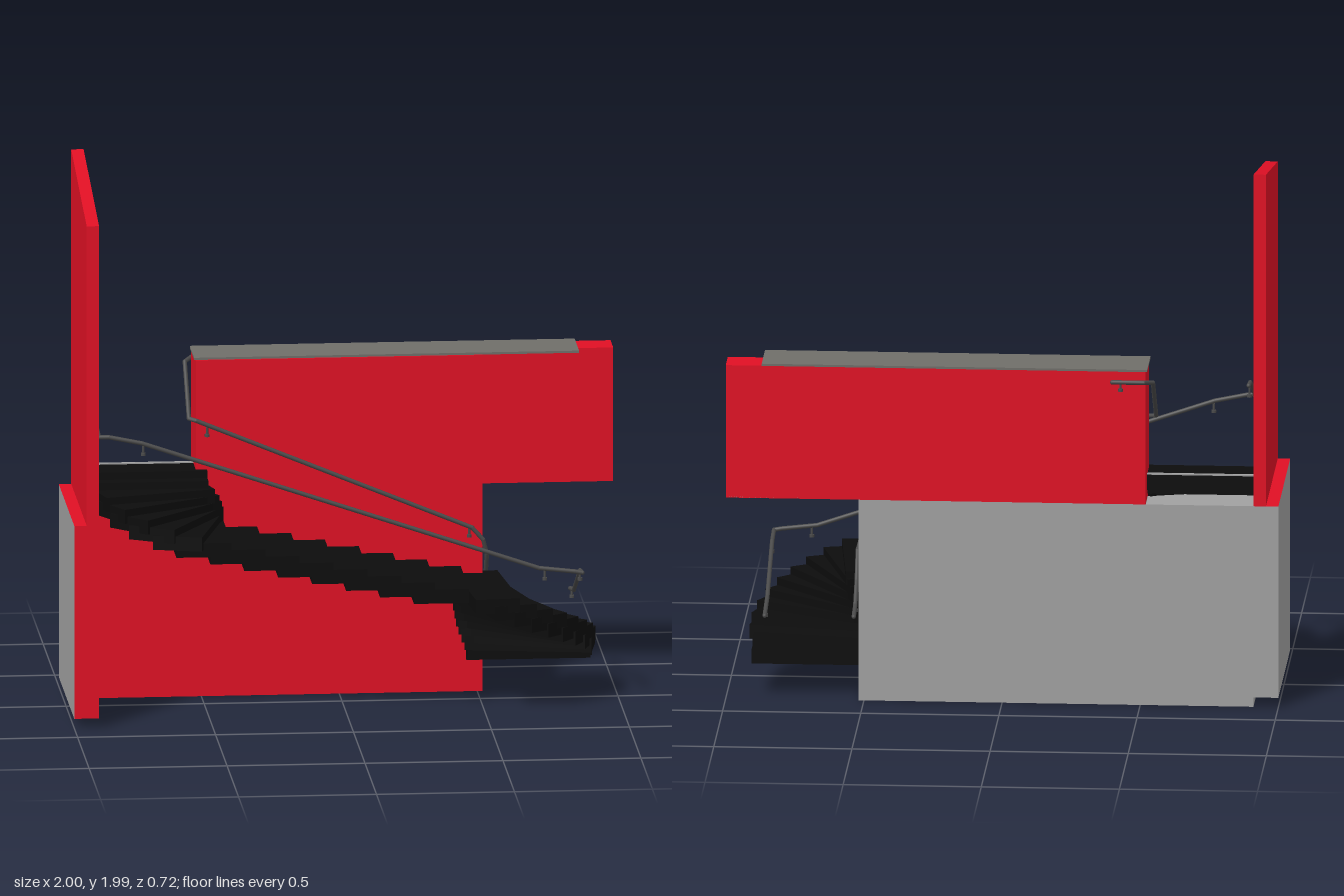
import * as THREE from 'three';

const mat = (color) => new THREE.MeshStandardMaterial({ color, side: THREE.DoubleSide });

export function createModel() {
  const model = new THREE.Group();
  const red = mat(0xe01024), grey = mat(0xa0a0a0), black = mat(0x0c0c0c);
  const steel = mat(0x4a4a4a), stone = mat(0x6f6e69);

  // Box from its limits; faces ordered +x, -x, +y, -y, +z, -z
  const box = (name, [x0, x1], [y0, y1], [z0, z1], material, parent = model) => {
    const geo = new THREE.BoxGeometry(x1 - x0, y1 - y0, z1 - z0);
    geo.translate((x0 + x1) / 2, (y0 + y1) / 2, (z0 + z1) / 2);
    const mesh = new THREE.Mesh(geo, material);
    mesh.name = name;
    parent.add(mesh);
    return mesh;
  };

  // Side wall: thick base and thin upper slab with a sloping top
  box('sideWallBase', [-1, -0.91], [0.035, 0.75], [-0.32, 0.355], [grey, grey, red, red, red, grey]);
  const slab = box('sideWallUpper', [-0.955, -0.91], [0.75, 1.99], [-0.32, 0.355], [grey, red, red, red, red, red]);
  const p = slab.geometry.attributes.position;
  for (let i = 0; i < p.count; i++) if (p.getY(i) > 1 && p.getZ(i) > 0) p.setY(i, 1.86);
  slab.geometry.computeVertexNormals();

  // Central wall: grey base with a red front, red upper part
  box('wallBase', [-0.91, 0.52], [0, 0.75], [-0.32, -0.12], [grey, grey, grey, grey, red, grey]);
  box('wallUpperFront', [-0.52, 0.52], [0.75, 1.245], [-0.2, -0.12], red);

  // Hollow beam, open at its right end
  const beam = new THREE.Group();
  beam.name = 'beam';
  model.add(beam);
  box('beamFront', [-0.52, 1], [0.75, 1.245], [-0.207, -0.203], red, beam);
  box('beamBack', [-0.52, 1], [0.75, 1.245], [-0.32, -0.316], red, beam);
  box('beamTop', [-0.52, 1], [1.241, 1.245], [-0.32, -0.203], red, beam);
  box('beamBottom', [-0.52, 1], [0.75, 0.754], [-0.32, -0.203], grey, beam);
  box('beamEnd', [-0.52, -0.516], [0.75, 1.245], [-0.32, -0.203], red, beam);
  box('wallCap', [-0.525, 0.87], [1.245, 1.253], [-0.322, -0.128], stone);

  // Steps: overlapping blocks reaching outward from an inner point at an angle
  const stairs = new THREE.Group();
  stairs.name = 'stairs';
  model.add(stairs);
  let count = 0;
  const step = (x, z, degrees, length, width) => {
    const top = 0.17 + 0.0268 * count++;
    const geo = new THREE.BoxGeometry(length + 0.04, 0.052, width);
    geo.translate((length - 0.04) / 2, 0, 0);
    const mesh = new THREE.Mesh(geo, black);
    mesh.name = 'step' + count;
    mesh.position.set(x, top - 0.026, z);
    mesh.rotation.y = -THREE.MathUtils.degToRad(degrees);
    stairs.add(mesh);
  };
  // Lower turn
  step(0.5, -0.19, 0, 0.41, 0.16);
  step(0.5, -0.12, 0, 0.41, 0.16);
  for (let i = 1; i <= 9; i++) step(0.5, -0.11, i * 9.4, 0.42, 0.16);
  // Straight flight
  for (let i = 0; i < 8; i++) step(0.34 - i * 0.123, -0.12, 90, 0.37, 0.2);
  // Upper turn
  for (let i = 1; i <= 5; i++) step(-0.52, -0.11, 90 + i * 15, 0.375, 0.18);
  step(-0.52, -0.13, 180, 0.39, 0.16);
  step(-0.52, -0.18, 180, 0.39, 0.16);
  box('landingEdge', [-0.91, -0.52], [0.836, 0.845], [-0.24, -0.228], grey);

  // Handrails: straight runs with rounded joints
  const rail = (name, points) => {
    const group = new THREE.Group();
    group.name = name;
    const pts = points.map((q) => new THREE.Vector3(...q));
    pts.forEach((a, i) => {
      const joint = new THREE.Mesh(new THREE.SphereGeometry(0.008, 10, 8), steel);
      joint.position.copy(a);
      group.add(joint);
      if (i === 0) return;
      const path = new THREE.LineCurve3(pts[i - 1], a);
      group.add(new THREE.Mesh(new THREE.TubeGeometry(path, 1, 0.008, 10), steel));
    });
    model.add(group);
  };
  rail('outerHandrail', [
    [-0.895, 1.21, -0.355], [-0.895, 1.2, -0.27], [-0.895, 1.14, -0.12], [-0.895, 1.05, 0.06],
    [-0.895, 1.035, 0.175], [-0.86, 1.035, 0.175], [-0.74, 1.01, 0.175],
    [0.7, 0.52, 0.175], [0.83, 0.505, 0.175], [0.857, 0.5, 0.175],
    [0.857, 0.485, 0.07], [0.857, 0.35, -0.2], [0.857, 0.32, -0.355],
  ]);
  rail('innerHandrail', [
    [-0.4, 1.21, -0.34], [-0.515, 1.21, -0.34], [-0.545, 1.2, -0.3], [-0.545, 1.03, -0.12],
    [-0.52, 1.025, -0.105], [0.48, 0.61, -0.105], [0.52, 0.565, -0.105], [0.535, 0.51, -0.12],
    [0.535, 0.41, -0.18], [0.535, 0.34, -0.26], [0.535, 0.32, -0.35],
  ]);

  // Small brackets hanging under the rails
  [
    [-0.735, 1.0, 0.175], [0.72, 0.51, 0.175], [-0.895, 1.04, 0.07], [0.857, 0.48, 0.06],
    [-0.895, 1.19, -0.31], [0.857, 0.335, -0.29], [-0.48, 1.0, -0.105], [0.47, 0.61, -0.105],
    [0.535, 0.345, -0.24], [-0.43, 1.21, -0.335],
  ].forEach(([x, y, z]) => {
    const stem = new THREE.Mesh(new THREE.CylinderGeometry(0.004, 0.004, 0.03, 8), steel);
    const foot = new THREE.Mesh(new THREE.CylinderGeometry(0.009, 0.009, 0.01, 10), steel);
    stem.name = 'railBracket';
    foot.name = 'railBracketFoot';
    stem.position.set(x, y - 0.015, z);
    foot.position.set(x, y - 0.03, z);
    model.add(stem, foot);
  });

  return model;
}
